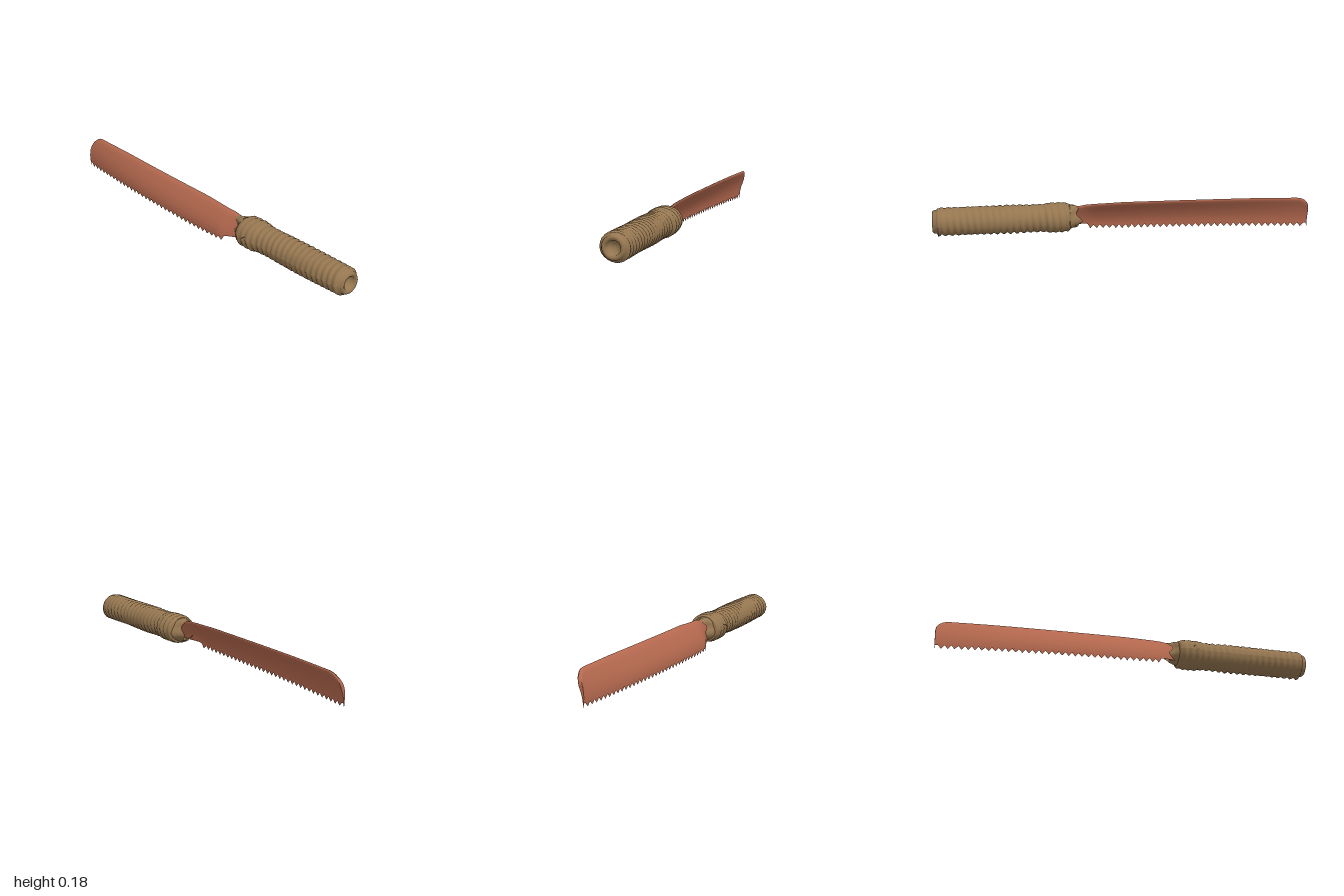
import * as THREE from 'three';

const bladeMat = new THREE.MeshStandardMaterial({ color: 0xb5694f, name: 'copper red', side: THREE.DoubleSide });
const wrapMat = new THREE.MeshStandardMaterial({ color: 0x957650, name: 'cord tan', side: THREE.DoubleSide });

const { lerp, smoothstep, clamp } = THREE.MathUtils;

// Piecewise-linear lookup in [x, value] pairs
function sample(pairs, x) {
  for (let i = 1; i < pairs.length; i++) {
    const [x0, a] = pairs[i - 1], [x1, b] = pairs[i];
    if (x <= x1) return lerp(a, b, clamp((x - x0) / (x1 - x0), 0, 1));
  }
  return pairs[pairs.length - 1][1];
}

// Bent, tilted blade lofted from cross-sections, with a saw-toothed lower edge
function makeBlade() {
  const teeth = 34, heel = 0.17, pitch = (heel + 1) / teeth;
  const xs = [-1, -0.996, -0.99];
  for (let i = 1; i <= teeth * 2; i++) xs.push(-1 + i * pitch / 2);
  xs.push(0.185, 0.2, 0.22, 0.25, 0.28, 0.33);
  const top = [[-0.93, 0.182], [-0.7, 0.186], [0, 0.186], [0.2, 0.178], [0.33, 0.155]];
  const bottom = [[-1, 0.03], [-0.6, 0.034], [0, 0.04], [0.17, 0.046], [0.2, 0.056], [0.33, 0.07]];
  const rows = [0, 0.02, 0.06, 0.12, 0.22, 0.36, 0.52, 0.7, 0.86, 1];
  const count = (rows.length + 1) * 2;
  const pos = [], index = [];

  xs.forEach((x, i) => {
    let yTop = sample(top, x);
    if (x < -0.93) yTop = 0.115 + 0.067 * Math.sqrt(Math.max(0, 1 - ((-0.93 - x) / 0.07) ** 2));
    const yBase = sample(bottom, x);
    const bend = Math.max(0, (0.1 - x) / 1.1) ** 2;
    const neck = smoothstep(x, 0.14, 0.3);
    const zTop = lerp(-0.017 - 0.026 * bend, -0.025, neck);
    const zBottom = lerp(0.061 - 0.059 * bend, 0.015, neck);
    const isTip = i === 0 || (i > 2 && i % 2 === 0 && x <= heel);
    const tooth = x > heel + 0.001 ? 0.002 : isTip ? 0.024 : 0.004;
    const front = [], back = [];
    rows.forEach((v) => {
      const y = lerp(yTop, yBase, v);
      const s = clamp((0.186 - y) / 0.15, 0, 1);
      const z = lerp(zTop, zBottom, Math.sin(s * Math.PI / 2));
      const half = Math.sqrt(Math.min(1, v / 0.1)) * lerp(0.012, 0.002, v);
      front.push([x, y, z + half]);
      back.unshift([x, y, z - half]);
    });
    front.push([x, yBase - tooth, zBottom + 0.0008]);
    back.unshift([x, yBase - tooth, zBottom - 0.0008]);
    [...front, ...back].forEach((p) => pos.push(...p));
  });

  for (let i = 0; i < xs.length - 1; i++) {
    for (let j = 0; j < count; j++) {
      const k = (j + 1) % count;
      const a = i * count + j, b = i * count + k, c = a + count, d = b + count;
      index.push(a, b, c, b, d, c);
    }
  }
  // Cap on the blunt tip, with its own vertices for a crisp edge
  const base = pos.length / 3;
  pos.push(...pos.slice(0, count * 3));
  for (let j = 0; j < count / 2 - 1; j++) {
    const f = base + j, b = base + count - 1 - j;
    index.push(f, b, b - 1, f, b - 1, f + 1);
  }
  const g = new THREE.BufferGeometry();
  g.setAttribute('position', new THREE.Float32BufferAttribute(pos, 3));
  g.setIndex(index);
  g.computeVertexNormals();
  return g;
}

// Lathe lying along x, its vertices reshaped by rule(point, angle)
function makeWrap(profile, sides, rule) {
  const g = new THREE.LatheGeometry(profile.map(([x, r]) => new THREE.Vector2(r, x)), sides);
  g.rotateZ(-Math.PI / 2);
  const p = g.attributes.position, v = new THREE.Vector3();
  for (let i = 0; i < p.count; i++) {
    v.fromBufferAttribute(p, i);
    rule(v, Math.atan2(v.y, v.z));
    p.setXYZ(i, v.x, v.y, v.z);
  }
  g.computeVertexNormals();
  return g;
}

function makeGrip() {
  const radius = [[0.285, 0.068], [0.30, 0.074], [0.33, 0.077], [0.39, 0.077], [0.42, 0.072],
    [0.5, 0.071], [0.55, 0.073], [0.9, 0.072], [0.97, 0.071]];
  const profile = [[0.285, 0.03]];
  for (let i = 0; i <= 125; i++) {
    const x = 0.285 + i * 0.0055;
    profile.push([x, sample(radius, x)]);
  }
  // Stepped butt with a hollow end
  profile.push([0.978, 0.062], [0.992, 0.06], [1, 0.054], [1, 0.045], [0.994, 0.036], [0.965, 0.03], [0.962, 0]);
  return makeWrap(profile, 24, (v, a) => {
    if (v.x > 0.286 && v.x < 0.974) {
      // Wound cord ridges, deeper underneath
      const depth = 0.0022 + 0.0014 * Math.max(0, -Math.sin(a));
      const ridge = Math.sin(v.x * Math.PI * 2 / 0.034 + a) + 0.5 * Math.sin(v.x * 170 + 3 * a);
      const k = 1 + (depth * ridge) / 0.073;
      v.y *= k;
      v.z *= k * lerp(1.16, 1.09, smoothstep(v.x, 0.38, 0.44));
    }
    v.y += 0.112;
    v.z -= 0.007;
  });
}

// Ragged cord collar tapering onto the neck of the blade
function makeCollar() {
  const profile = [];
  for (let i = 0; i <= 8; i++) profile.push([0.23 + i * 0.01, 1]);
  return makeWrap(profile, 24, (v, a) => {
    const t = (v.x - 0.23) / 0.08;
    const ragged = 0.012 * Math.sin(a * 3 + 0.6) + 0.008 * Math.sin(a * 5);
    v.x += (1 - t) * (0.008 + ragged);
    const ridge = 1 + 0.03 * Math.sin(t * 16 + a);
    v.y = 0.113 + v.y * lerp(0.056, 0.07, t) * ridge;
    v.z = -0.007 + v.z * lerp(0.03, 0.082, smoothstep(t, 0, 1)) * ridge;
  });
}

export function createModel() {
  const model = new THREE.Group();
  model.name = 'sawToothedKnife';
  const add = (name, geometry, material) => {
    const mesh = new THREE.Mesh(geometry, material);
    mesh.name = name;
    model.add(mesh);
    return mesh;
  };
  add('blade', makeBlade(), bladeMat);
  add('grip', makeGrip(), wrapMat);
  add('collar', makeCollar(), wrapMat);
  // Loose cord end
  const strand = add('looseStrand', new THREE.CylinderGeometry(0.0015, 0.0015, 0.03, 5), wrapMat);
  strand.rotation.x = Math.PI / 2;
  strand.position.set(0.36, 0.128, 0.083);

  // Settle on the ground and centre
  const box = new THREE.Box3().setFromObject(model);
  model.children.forEach((m) => { m.position.y -= box.min.y; });
  return model;
}
